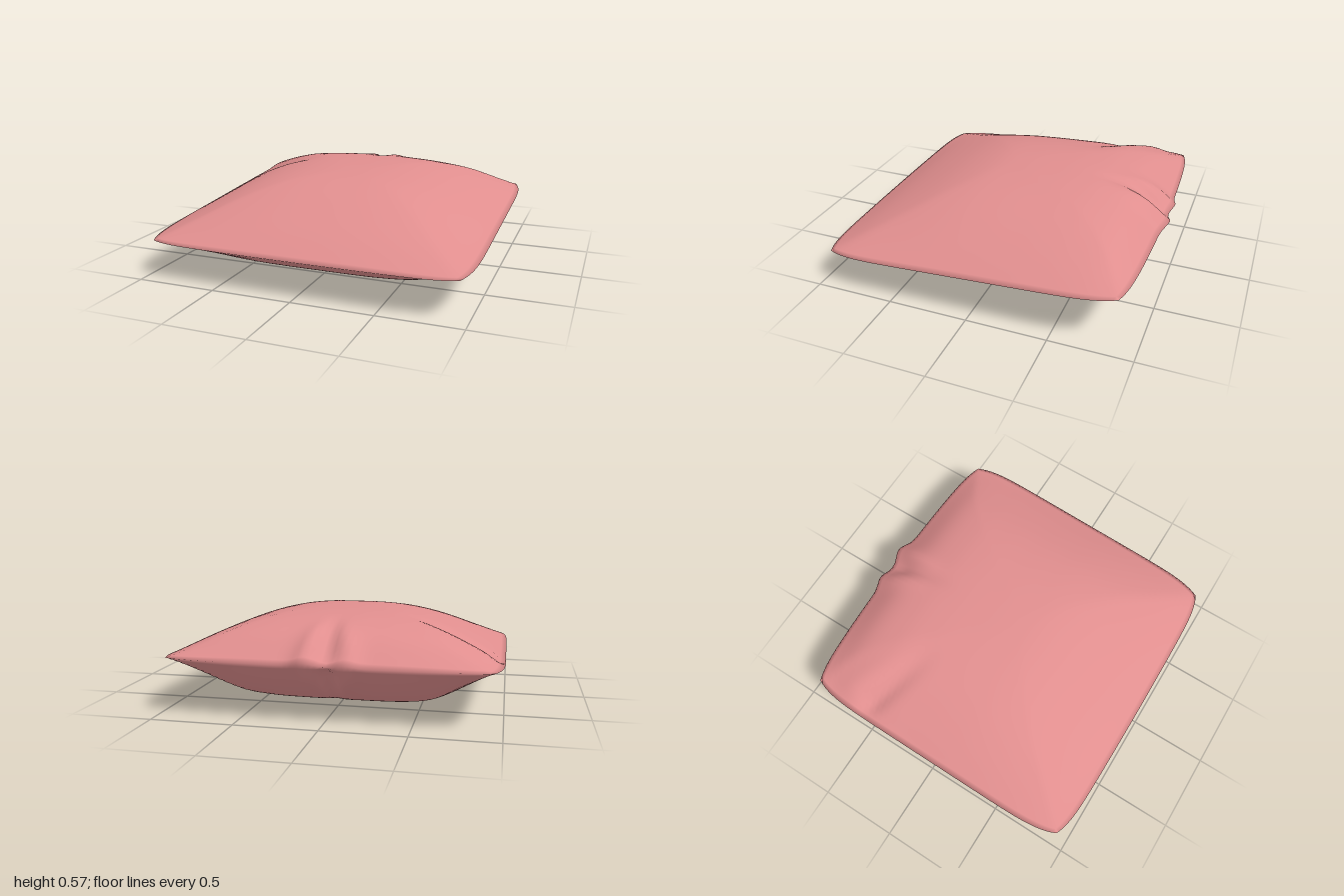
import * as THREE from 'three';
import { mergeVertices, mergeGeometries } from 'three/addons/utils/BufferGeometryUtils.js';

const SEGMENTS = 60;

// Puffiness along the depth (back to front) and across the width (centre to side)
const TOP_DEPTH = [0, 0.155, 0.225, 0.257, 0.272, 0.28, 0.275, 0.24, 0.18, 0.102, 0];
const TOP_WIDTH = [1, 0.98, 0.89, 0.7, 0.39, 0];
const BOTTOM_DEPTH = [0, 0.15, 0.26, 0.283, 0.285, 0.282, 0.277, 0.26, 0.205, 0.105, 0];
const BOTTOM_WIDTH = [1, 1, 0.97, 0.84, 0.47, 0];

// Smooth curve through evenly spaced values, t from 0 to 1
function sample(values, t, mirrorStart = false) {
  const n = values.length - 1;
  const i = Math.min(Math.floor(t * n), n - 1);
  const f = t * n - i;
  const b = values[i], c = values[i + 1];
  const a = i > 0 ? values[i - 1] : mirrorStart ? c : 2 * b - c;
  const d = i < n - 1 ? values[i + 2] : 2 * c - b;
  return b + 0.5 * f * (c - a + f * (2 * a - 5 * b + 4 * c - d + f * (3 * (b - c) + d - a)));
}

const bell = (x, centre, width) => Math.exp(-(((x - centre) / width) ** 2));

// A wrinkle that starts at (x0, z0) and fades out at (x1, z1)
function fold(x, z, x0, z0, x1, z1, width, height) {
  const dx = x1 - x0, dz = z1 - z0, length = Math.hypot(dx, dz);
  const t = ((x - x0) * dx + (z - z0) * dz) / (length * length);
  const across = ((x - x0) * dz - (z - z0) * dx) / length;
  const fade = 1 - THREE.MathUtils.smoothstep(t, 0.1, 1);
  return height * fade * bell(across, 0, width);
}

// One side of the cushion; the sheet's outer edge lies on the seam
function cushionSide(isTop) {
  const geometry = new THREE.PlaneGeometry(2, 2, SEGMENTS, SEGMENTS);
  geometry.rotateX(isTop ? -Math.PI / 2 : Math.PI / 2);
  const depth = isTop ? TOP_DEPTH : BOTTOM_DEPTH;
  const width = isTop ? TOP_WIDTH : BOTTOM_WIDTH;
  const p = geometry.attributes.position;

  for (let i = 0; i < p.count; i++) {
    const u = THREE.MathUtils.clamp(p.getX(i), -1, 1);
    const v = THREE.MathUtils.clamp(p.getZ(i), -1, 1);
    const au = Math.abs(u), av = Math.abs(v);

    // Outline with clipped corners and two gathered bumps at the back
    const gather = v < 0 ? (0.025 * bell(u, -0.15, 0.07) + 0.036 * bell(u, 0.1, 0.08)) * av ** 6 : 0;
    const x = u * (1 - 0.055 * av ** 8);
    const z = v > 0
      ? v * (0.975 - 0.012 * au ** 2 - 0.043 * au ** 10)
      : v * (0.945 - 0.035 * au ** 2 - 0.03 * au ** 10) - gather;

    // Sloping seam plus the stuffing
    const seam = 0.23 + 0.06 * (0.97 - z) + 0.7 * gather;
    const d = sample(depth, (v + 1) / 2);
    const w = sample(width, au, true);
    const peak = isTop ? 0.28 : 0.285;
    let puff = 0.6 * d * w + 0.4 * Math.min(d, w * peak);

    // Wrinkles, vanishing at the seam
    const inside = Math.min(1, 9 * (1 - Math.max(au, av)));
    const strength = isTop ? 1 : 1.3;
    let wrinkles = strength * (
      fold(x, z, -0.15, -0.97, -0.03, -0.5, 0.05, 0.025) +
      fold(x, z, 0.1, -0.98, 0.05, -0.5, 0.05, 0.025) +
      fold(x, z, -0.03, -0.95, 0.01, -0.42, 0.04, -0.035));
    if (isTop) {
      wrinkles += fold(x, z, -1, -0.54, -0.35, -0.27, 0.06, -0.05);
      wrinkles += fold(x, z, -1, -0.7, -0.35, -0.4, 0.09, 0.025);
    }
    puff = Math.max(0, puff + wrinkles * inside);
    p.setXYZ(i, x, Math.max(0, isTop ? seam + puff : seam - puff), z);
  }
  geometry.deleteAttribute('uv');
  geometry.deleteAttribute('normal');
  return geometry;
}

export function createModel() {
  // Both sides are welded along the seam for smooth shading
  const geometry = mergeVertices(mergeGeometries([cushionSide(true), cushionSide(false)]), 1e-4);
  geometry.computeVertexNormals();
  const cushion = new THREE.Mesh(geometry, new THREE.MeshStandardMaterial({ color: 0xe08e8e }));
  cushion.name = 'cushion';

  const group = new THREE.Group();
  group.name = 'pillow';
  group.add(cushion);
  return group;
}
